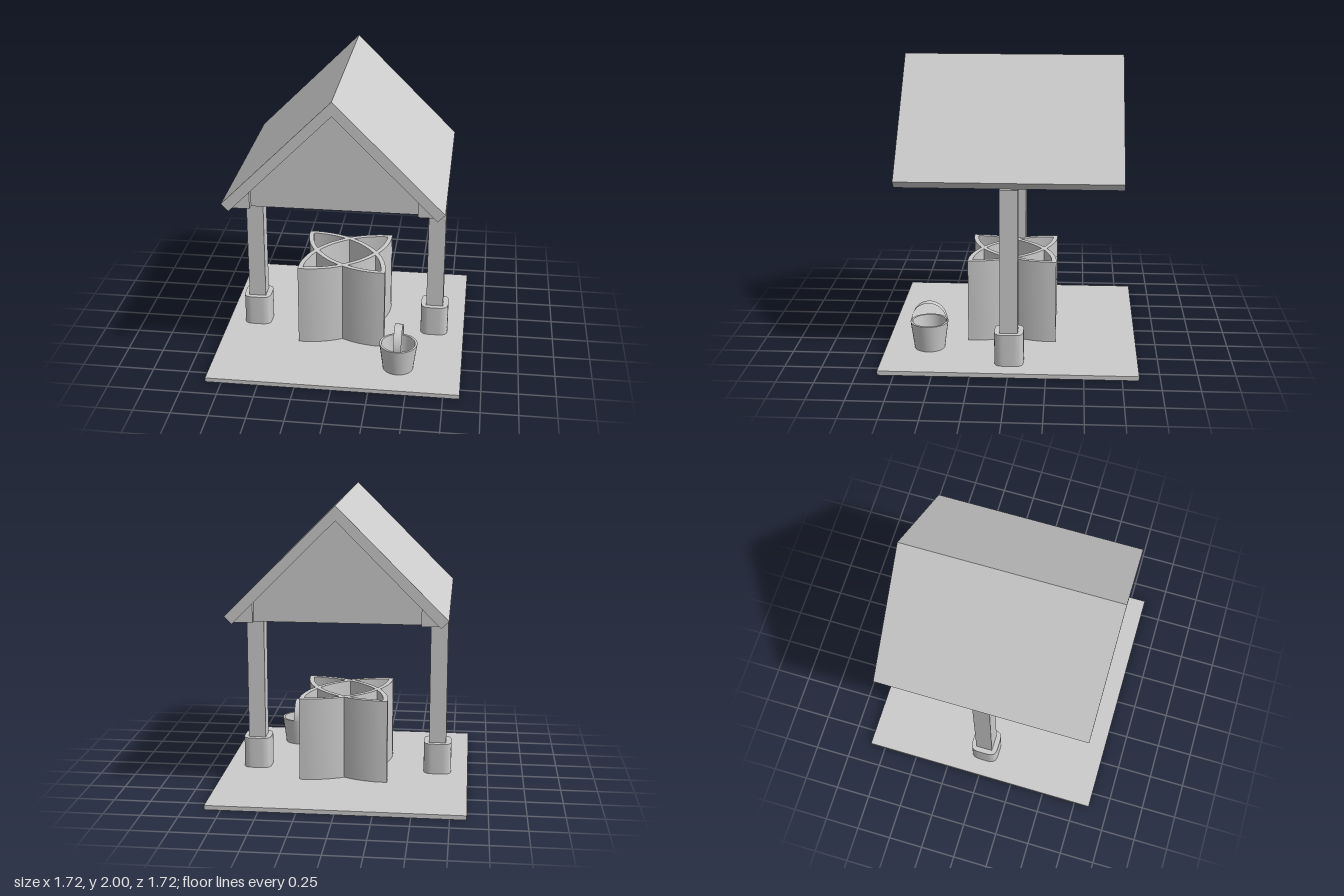
import * as THREE from 'three';
import { toCreasedNormals } from 'three/addons/utils/BufferGeometryUtils.js';

const material = new THREE.MeshStandardMaterial({ color: 0xcccccc });
const thinMaterial = new THREE.MeshStandardMaterial({ color: 0xcccccc, side: THREE.DoubleSide });

const toShape = (points) => new THREE.Shape(points.map(([x, y]) => new THREE.Vector2(x, y)));

// Outline extruded along z, centred on z = 0
function prism(points, depth) {
  const geo = new THREE.ExtrudeGeometry(toShape(points), { depth, bevelEnabled: false });
  return geo.translate(0, 0, -depth / 2);
}

// Plan outline extruded upwards between two heights
function upright(shape, bottom, top) {
  const geo = new THREE.ExtrudeGeometry(shape, { depth: top - bottom, bevelEnabled: false });
  geo.rotateX(-Math.PI / 2).translate(0, bottom, 0);
  return toCreasedNormals(geo, 0.45);
}

// Arc bulging to one side of the long axis of a lens
function lensArc(radius, centre, reach, side, steps = 20) {
  const a = Math.asin(reach / radius);
  const points = [];
  for (let i = 0; i <= steps; i++) {
    const t = a * (1 - (2 * i) / steps) * side;
    points.push([Math.sin(t) * radius, side * (Math.cos(t) * radius - centre)]);
  }
  return points;
}

// Hollow lens with right-angled tips
function lensWall() {
  const centre = 0.408, outer = 0.595, inner = 0.562;
  const tip = 0.431, reach = 0.389;
  const shape = toShape([
    [tip, 0], ...lensArc(outer, centre, reach, 1),
    [-tip, 0], ...lensArc(outer, centre, reach, -1),
  ]);
  const innerReach = Math.sqrt(inner ** 2 - centre ** 2);
  const hole = [
    ...lensArc(inner, centre, innerReach, 1).slice(0, -1),
    ...lensArc(inner, centre, innerReach, -1).slice(0, -1),
  ];
  shape.holes.push(new THREE.Path(hole.map(([x, y]) => new THREE.Vector2(x, y))));
  return upright(shape, 0.03, 0.615);
}

// Square with softly bulging sides
function softSquare(half, steps = 48) {
  const points = [];
  for (let i = 0; i < steps; i++) {
    const t = (i / steps) * Math.PI * 2;
    const c = Math.cos(t), s = Math.sin(t);
    points.push([
      half * Math.sign(c) * Math.sqrt(Math.abs(c)),
      half * Math.sign(s) * Math.sqrt(Math.abs(s)),
    ]);
  }
  return toShape(points);
}

export function createModel() {
  const model = new THREE.Group();
  model.name = 'wishingWell';
  const add = (name, geo, parent = model, mat = material) => {
    const mesh = new THREE.Mesh(geo, mat);
    mesh.name = name;
    parent.add(mesh);
    return mesh;
  };

  // Ground slab
  add('platform', new THREE.BoxGeometry(1.72, 0.03, 1.72).translate(0, 0.015, 0));

  // Well shaft: two crossing lens-shaped walls on the diagonals
  const shaft = new THREE.Group();
  shaft.name = 'wellShaft';
  model.add(shaft);
  for (const turn of [1, -1]) {
    add('wellWall', lensWall(), shaft).rotation.y = (turn * Math.PI) / 4;
  }

  // Posts on their footings, and the wedge beams under the eaves
  for (const side of [1, -1]) {
    const x = side * 0.645;
    add('postFooting', upright(softSquare(0.0975), 0.03, 0.25).translate(x, 0, 0));
    add('post', new THREE.BoxGeometry(0.12, 0.98, 0.12).translate(x, 0.74, 0));
    const wedge = [[0.545, 1.23], [0.672, 1.23], [0.545, 1.36]].map(([px, py]) => [px * side, py]);
    add('eaveBeam', prism(wedge, 1.38));
  }

  // Roof covering and the closed gable block below it
  add('roof', prism([
    [0, 2], [-0.72, 1.28], [-0.672, 1.23], [0, 1.905], [0.672, 1.23], [0.72, 1.28],
  ], 1.49));
  add('gable', prism([[-0.672, 1.23], [0.672, 1.23], [0, 1.905]], 1.29));

  // Bucket with a thin strap handle
  const bucket = new THREE.Group();
  bucket.name = 'bucket';
  bucket.position.set(0.427, 0.03, 0.56);
  model.add(bucket);
  const profile = [[0, 0], [0.104, 0], [0.13, 0.19], [0.115, 0.19], [0.092, 0.02], [0, 0.02]];
  const pail = new THREE.LatheGeometry(profile.map(([r, y]) => new THREE.Vector2(r, y)), 32);
  add('pail', toCreasedNormals(pail, 0.6), bucket);
  const strap = new THREE.CylinderGeometry(1, 1, 0.055, 24, 1, true, 0, Math.PI);
  strap.rotateZ(Math.PI / 2).scale(1, 0.135, 0.122).translate(0, 0.19, 0);
  add('handle', strap, bucket, thinMaterial);

  return model;
}
